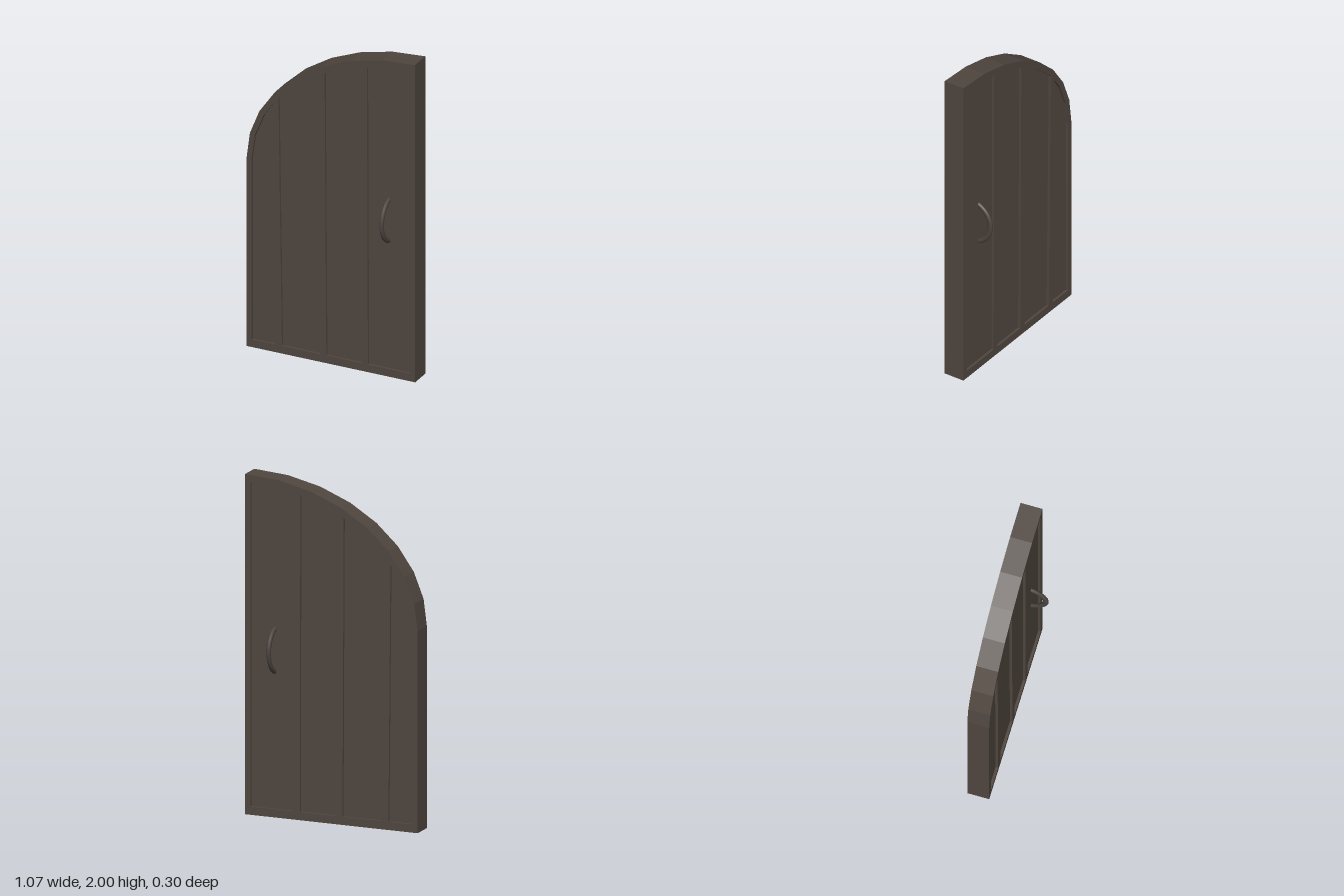
import * as THREE from 'three';

const wood = new THREE.MeshStandardMaterial({ color: 0x50463f });
wood.name = 'dark wood';
const iron = new THREE.MeshStandardMaterial({ color: 0x4c4540 });
iron.name = 'dark iron';

const RIGHT = 0.537, SPRING = 1.187; // straight edge and height where the arch starts
const BACK = -0.069, FRONT = 0.061, RECESS = 0.015;

// Quarter-ellipse arch in eight straight facets, from the low side to the top
function arch(rx, ry) {
  const points = [];
  for (let i = 0; i <= 8; i++) {
    const a = (i / 8) * Math.PI / 2;
    points.push(new THREE.Vector2(RIGHT - rx * Math.cos(a), SPRING + ry * Math.sin(a)));
  }
  return points;
}

const outerArch = arch(1.074, 0.813);
const innerArch = arch(1.042, 0.768);

// Height of the inner arch at x
function innerTop(x) {
  for (let i = 1; i < innerArch.length; i++) {
    const a = innerArch[i - 1], b = innerArch[i];
    if (x <= b.x) return a.y + (b.y - a.y) * (x - a.x) / (b.x - a.x);
  }
  return innerArch[8].y;
}

// Plank outline: bottom left/right and top left/right x, closed by the arch
function plankOutline([bl, br, tl, tr]) {
  const points = [new THREE.Vector2(bl, 0.048), new THREE.Vector2(br, 0.048)];
  points.push(new THREE.Vector2(tr, innerTop(tr)));
  for (const p of [...innerArch].reverse()) {
    if (p.x < tr - 0.002 && p.x > tl + 0.002) points.push(p.clone());
  }
  points.push(new THREE.Vector2(tl, innerTop(tl)));
  return points;
}

function slab(shape, back, front, name) {
  const geometry = new THREE.ExtrudeGeometry(shape, { depth: front - back, bevelEnabled: false });
  geometry.translate(0, 0, back);
  const mesh = new THREE.Mesh(geometry, wood);
  mesh.name = name;
  return mesh;
}

export function createModel() {
  const door = new THREE.Group();
  door.name = 'archedDoor';

  // Slightly crooked planks
  const planks = [
    [-0.505, -0.355, -0.505, -0.368],
    [-0.312, -0.069, -0.334, -0.077],
    [-0.029, 0.196, -0.04, 0.193],
    [0.236, 0.503, 0.23, 0.503],
  ].map(plankOutline);

  // Frame with an opening for each plank
  const frame = new THREE.Shape([
    new THREE.Vector2(-RIGHT, 0),
    new THREE.Vector2(RIGHT, 0),
    ...[...outerArch].reverse(),
  ]);
  planks.forEach((p) => frame.holes.push(new THREE.Path(p)));
  door.add(slab(frame, BACK, FRONT, 'frame'));

  // Planks sunk into both faces of the frame
  planks.forEach((p, i) => {
    door.add(slab(new THREE.Shape(p), BACK + RECESS, FRONT - RECESS, `plank${i + 1}`));
  });

  // Ring through the door, forming a handle on each side
  const ring = new THREE.TorusGeometry(0.134, 0.016, 10, 36);
  ring.rotateY(Math.PI / 2);
  ring.scale(0.75, 1, 1);
  const handle = new THREE.Mesh(ring, iron);
  handle.name = 'handleRing';
  handle.position.set(0.361, 0.978, 0);
  door.add(handle);

  return door;
}
